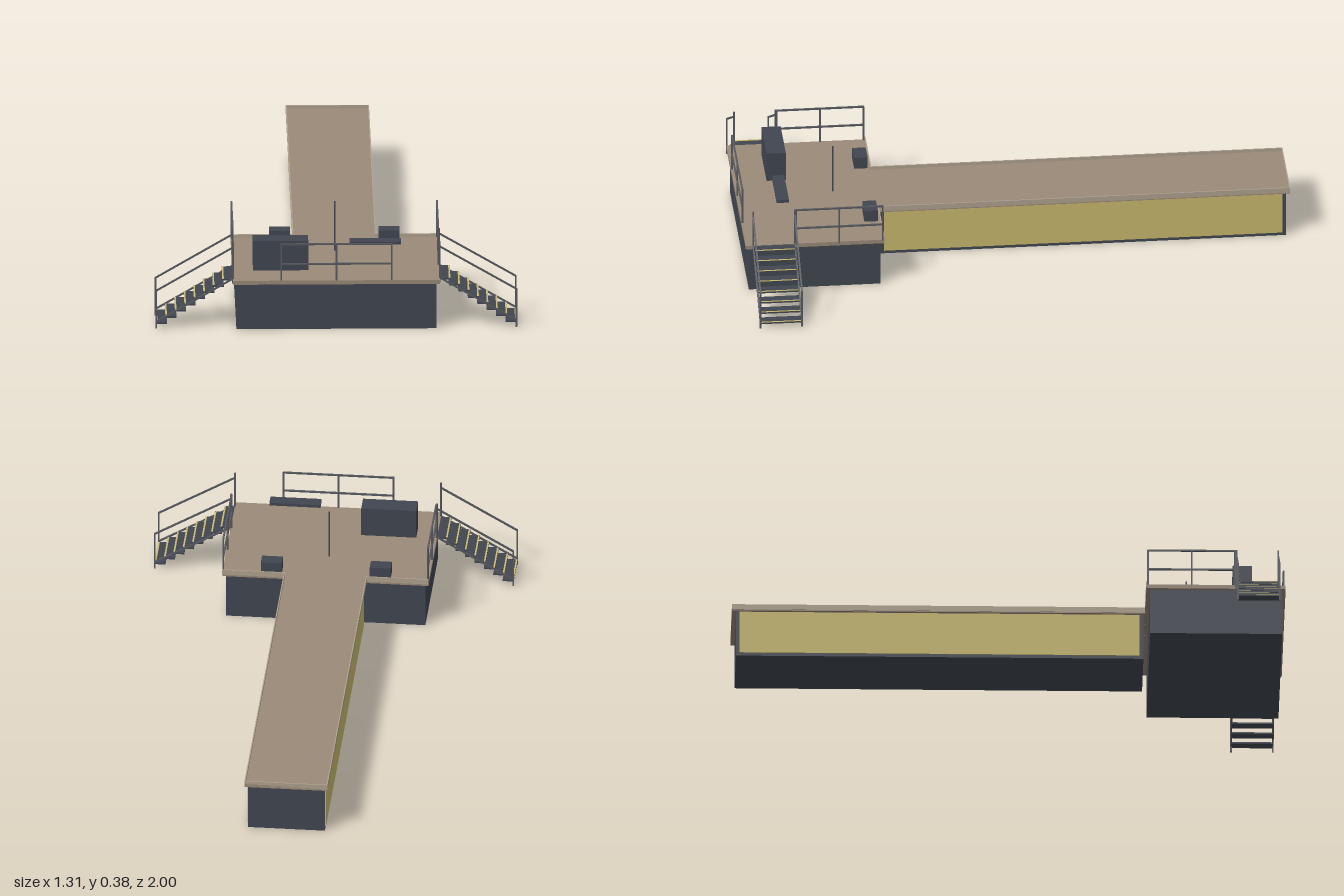
import * as THREE from 'three';

const mat = (name, color) => {
  const m = new THREE.MeshStandardMaterial({ color });
  m.name = name;
  return m;
};

export function createModel() {
  const dark = mat('charcoal', 0x414650);
  const tan = mat('deck tan', 0x9a8a78);
  const trim = mat('edge trim', 0xb0a28e);
  const yellow = mat('panel yellow', 0xc9b96e);
  const steel = mat('rail steel', 0x585a60);

  const model = new THREE.Group();
  model.name = 'stageWithRunway';

  // Box given by its extents on each axis
  function box(name, material, [x0, x1], [y0, y1], [z0, z1], parent = model) {
    const mesh = new THREE.Mesh(new THREE.BoxGeometry(x1 - x0, y1 - y0, z1 - z0), material);
    mesh.position.set((x0 + x1) / 2, (y0 + y1) / 2, (z0 + z1) / 2);
    mesh.name = name;
    parent.add(mesh);
    return mesh;
  }

  // Square bar between two points
  function bar(name, a, b, parent, size = 0.006, material = steel) {
    const p = new THREE.Vector3(...a), q = new THREE.Vector3(...b);
    const mesh = new THREE.Mesh(new THREE.BoxGeometry(size, size, p.distanceTo(q)), material);
    mesh.position.copy(p).add(q).multiplyScalar(0.5);
    mesh.lookAt(q);
    mesh.name = name;
    parent.add(mesh);
    return mesh;
  }

  const deckY = 0.188;

  // Main platform and runway
  box('platformBase', dark, [-0.362, 0.362], [0, 0.173], [0.51, 0.988]);
  box('platformDeck', tan, [-0.375, 0.375], [0.173, deckY], [0.496, 1]);
  box('runwayBase', dark, [-0.14, 0.14], [0, 0.176], [-0.985, 0.49]);
  box('runwayDeck', tan, [-0.15, 0.15], [0.176, deckY], [-1, 0.496]);
  box('runwayEndTrim', trim, [-0.15, 0.15], [0.18, 0.2], [-1, -0.996]);

  for (const s of [-1, 1]) {
    const span = (a, b) => (s > 0 ? [a, b] : [-b, -a]);

    // Runway side panels and raised edges
    box('runwayPanel', yellow, span(0.139, 0.143), [0.012, 0.174], [-0.972, 0.476]);
    box('runwaySideTrim', trim, span(0.147, 0.151), [0.18, 0.2], [-1, 0.5]);
    box('platformBackTrim', trim, span(0.15, 0.375), [0.18, 0.2], [0.495, 0.499]);

    // Floor monitors
    box('floorMonitor', dark, span(0.16, 0.236), [deckY, 0.232], [0.507, 0.556]);

    // Side guard rail
    const guard = new THREE.Group();
    guard.name = 'sideRailing';
    model.add(guard);
    const gx = s * 0.372;
    for (const z of [0.502, 0.66, 0.817]) bar('railPost', [gx, 0.18, z], [gx, 0.325, z], guard);
    for (const y of [0.25, 0.325]) bar('rail', [gx, y, 0.5], [gx, y, 0.82], guard);

    // Stairs with nosing strips
    const stairs = new THREE.Group();
    stairs.name = s > 0 ? 'leftStairs' : 'rightStairs';
    model.add(stairs);
    for (let i = 0; i < 8; i++) {
      const x = 0.373 + i * 0.0343, y = 0.186 - i * 0.0234;
      box('tread', dark, span(x, x + 0.04), [y - 0.006, y], [0.823, 0.972], stairs);
      box('treadNosing', yellow, span(x + 0.034, x + 0.04), [y, y + 0.001], [0.825, 0.97], stairs);
    }

    // Stair stringers, posts and handrails
    for (const z of [0.822, 0.973]) {
      bar('stringer', [s * 0.652, 0.025, z], [s * 0.374, 0.188, z], stairs);
      bar('handrail', [s * 0.653, 0.143, z], [s * 0.374, 0.307, z], stairs);
      bar('outerPost', [s * 0.652, 0, z], [s * 0.652, 0.145, z], stairs);
      bar('innerPost', [s * 0.374, 0.17, z], [s * 0.374, 0.327, z], stairs);
    }
  }

  // Front guard rail
  const front = new THREE.Group();
  front.name = 'frontRailing';
  model.add(front);
  for (const x of [-0.2, 0, 0.2]) bar('railPost', [x, 0.18, 0.996], [x, 0.325, 0.996], front);
  for (const y of [0.25, 0.325]) bar('rail', [-0.203, y, 0.996], [0.203, y, 0.996], front);

  // Stage equipment
  box('equipmentCabinet', dark, [-0.3, -0.1], [deckY, 0.3], [0.81, 0.88]);
  box('keyboardTop', dark, [0.05, 0.236], [0.282, 0.293], [0.83, 0.875]);
  bar('microphoneStand', [0, deckY, 0.648], [0, 0.375, 0.648], model, 0.005, dark);

  return model;
}
